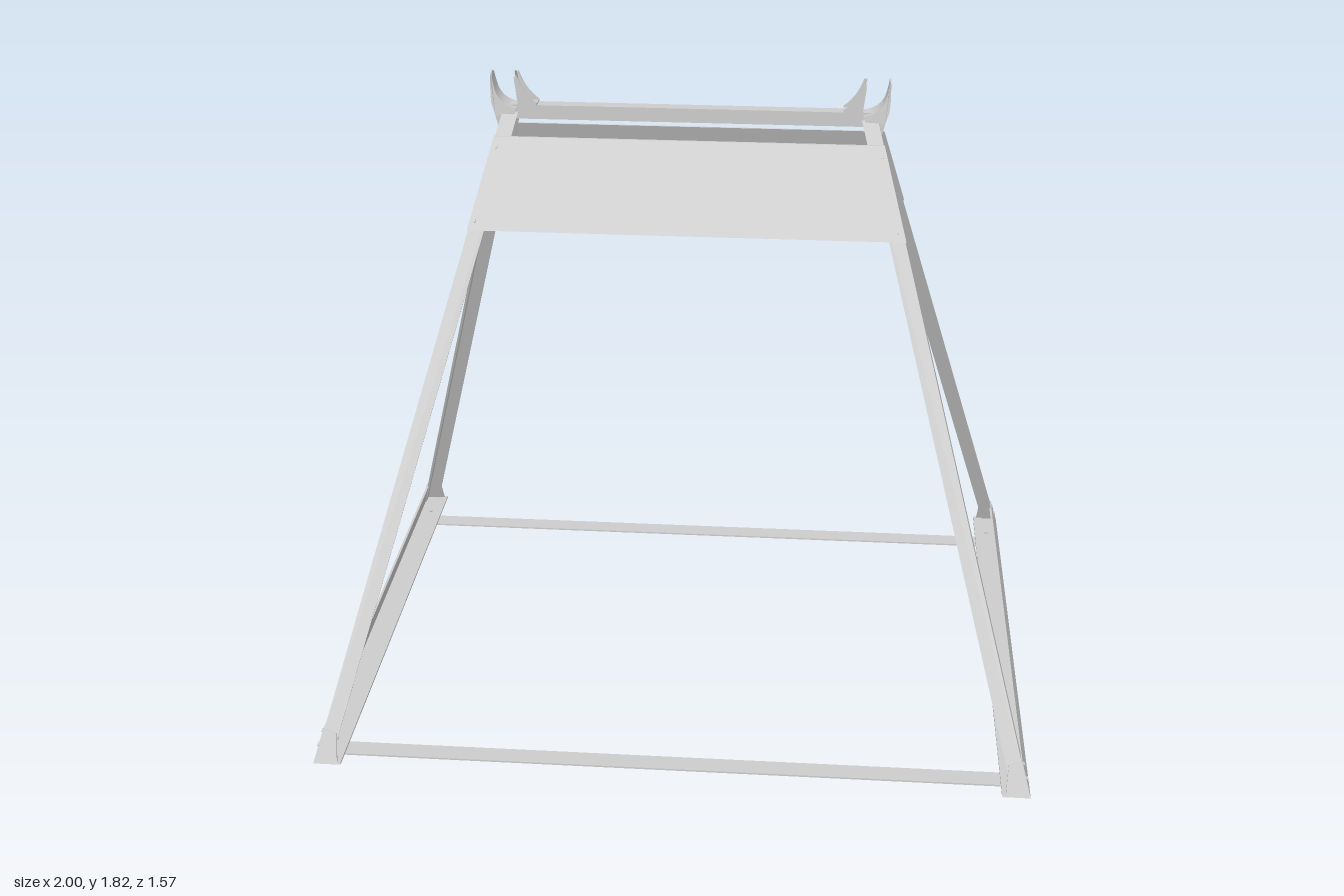
import * as THREE from 'three';

const mat = new THREE.MeshStandardMaterial({ color: 0xcccccc, flatShading: true, side: THREE.DoubleSide });

// Outer corner line of the legs: half width and half depth at height y
const xAt = (y) => 1.0 - 0.283 * (y - 0.03);
const zAt = (y) => 0.787 - 0.447 * (y - 0.03);

// Solid between two matching loops; caps fan out from the first point
function loft(a, b) {
  const n = a.length, tris = [];
  for (let i = 0; i < n; i++) {
    const j = (i + 1) % n;
    tris.push([a[i], a[j], b[j]], [a[i], b[j], b[i]]);
    if (i > 0 && i < n - 1) tris.push([a[0], a[i + 1], a[i]], [b[0], b[i], b[i + 1]]);
  }
  const v = (p) => new THREE.Vector3(...p);
  let volume = 0;
  for (const [p, q, r] of tris) volume += v(p).dot(v(q).cross(v(r)));
  if (volume < 0) tris.forEach((t) => t.reverse());
  const geo = new THREE.BufferGeometry();
  geo.setAttribute('position', new THREE.Float32BufferAttribute(tris.flat(2), 3));
  geo.computeVertexNormals();
  return geo;
}

export function createModel() {
  const model = new THREE.Group();
  const add = (name, geo, parent = model) => {
    const mesh = new THREE.Mesh(geo, mat);
    mesh.name = name;
    parent.add(mesh);
    return mesh;
  };
  const bolt = (x, y, z, normal) => {
    const m = add('bolt', new THREE.CylinderGeometry(0.006, 0.006, 0.008, 8));
    m.position.set(x, y, z);
    m.quaternion.setFromUnitVectors(new THREE.Vector3(0, 1, 0), normal.normalize());
  };

  const w = 0.045, t = 0.007;
  for (const sx of [-1, 1]) {
    for (const sz of [-1, 1]) {
      // Angle-section leg leaning towards the ridge
      const section = (y) => {
        const x = xAt(y) - 0.003, z = zAt(y) - 0.003;
        return [[x - t, z - t], [x - t, z - w], [x, z - w], [x, z], [x - w, z], [x - w, z - t]]
          .map(([px, pz]) => [sx * px, y, sz * pz]);
      };
      add('leg', loft(section(0.035), section(1.71)));

      // Foot plate closing the corner
      const foot = (d) => [[0.03, 0], [0.03, 0.068], [0.11, 0.04], [0.12, 0]]
        .map(([y, inset]) => [sx * (xAt(y) - inset), y, sz * (zAt(y) - d)]);
      add('footPlate', loft(foot(0), foot(0.006)));

      // Bolts on the panels and rails
      for (const y of [1.435, 1.625]) {
        bolt(sx * (xAt(y) - 0.013), y, sz * (zAt(y) + 0.006), new THREE.Vector3(0, 0.447, sz));
      }
      for (const [y, z] of [[0.105, 0.733], [0.07, 0.75]]) {
        bolt(sx * xAt(y), y, sz * z, new THREE.Vector3(sx, 0.283, 0));
      }
      bolt(sx * 0.96, 0.036, sz * 0.672, new THREE.Vector3(0, 1, 0));
    }

    // Side rail: leaning outer flange and flat bottom flange
    const rail = (s) => [
      [xAt(0.036) - t, 0.036], [0.922, 0.036], [0.922, 0.03],
      [xAt(0.03), 0.03], [xAt(0.12), 0.12], [xAt(0.12) - t, 0.12],
    ].map(([x, y]) => [sx * x, y, s * zAt(y)]);
    add('sideRail', loft(rail(-1), rail(1)));
  }

  for (const sz of [-1, 1]) {
    // Sloping panel across the upper legs
    const panel = (s) => [[1.41, 0], [1.65, 0], [1.65, 0.006], [1.41, 0.006]]
      .map(([y, d]) => [s * xAt(y), y, sz * (zAt(y) + d - 0.002)]);
    add('panel', loft(panel(-1), panel(1)));

    // Flat floor strip
    add('floorStrip', new THREE.BoxGeometry(1.98, 0.005, 0.058)).position.set(0, 0.0025, sz * 0.67);
  }

  // Ridge bar
  add('ridgeBar', new THREE.BoxGeometry(1.02, 0.04, 0.038)).position.set(0, 1.708, 0);

  // Outer cradle horn, narrowing to a rounded tip
  const horn = new THREE.Shape();
  horn.moveTo(0.5, 1.66);
  horn.lineTo(0.53, 1.66);
  horn.lineTo(0.54, 1.7);
  horn.lineTo(0.551, 1.735);
  for (const y of [1.76, 1.785, 1.8, 1.81, 1.817, 1.82]) horn.lineTo(0.553, y);
  for (const [x, y] of [[0.549, 1.82], [0.549, 1.817], [0.548, 1.81], [0.547, 1.8], [0.544, 1.785]]) horn.lineTo(x, y);
  horn.quadraticCurveTo(0.535, 1.73, 0.48, 1.722);
  horn.lineTo(0.485, 1.71);
  const hornGeo = new THREE.ExtrudeGeometry(horn, { depth: 2, bevelEnabled: false, curveSegments: 10 });
  hornGeo.translate(0, 0, -1);
  const p = hornGeo.attributes.position;
  for (let i = 0; i < p.count; i++) {
    const y = p.getY(i);
    const taper = 0.036 - 0.12 * Math.max(0, y - 1.7);
    const k = Math.max(0, (y - 1.795) / 0.026);
    p.setZ(i, p.getZ(i) * taper * Math.sqrt(Math.max(0.02, 1 - k * k)));
  }
  hornGeo.computeVertexNormals();

  // Inner bracket cheek with a concave slope
  const cheek = new THREE.Shape();
  cheek.moveTo(0.425, 1.728);
  cheek.lineTo(0.475, 1.728);
  cheek.lineTo(0.485, 1.81);
  cheek.lineTo(0.48, 1.815);
  cheek.quadraticCurveTo(0.463, 1.762, 0.425, 1.735);
  const cheekGeo = new THREE.ExtrudeGeometry(cheek, { depth: 0.004, bevelEnabled: false, curveSegments: 8 });

  // Upright tab of the inner bracket with a round top
  const tab = new THREE.Shape();
  tab.moveTo(-0.024, 0);
  tab.lineTo(0.024, 0);
  tab.lineTo(0.022, 0.072);
  tab.absarc(0, 0.072, 0.022, 0, Math.PI, false);
  const tabGeo = new THREE.ExtrudeGeometry(tab, { depth: 0.004, bevelEnabled: false, curveSegments: 10 });

  // Bracket foot with two bolt holes
  const base = new THREE.Shape();
  base.moveTo(0.425, -0.024);
  base.lineTo(0.48, -0.024);
  base.lineTo(0.48, 0.024);
  base.lineTo(0.425, 0.024);
  for (const hx of [0.438, 0.46]) {
    base.holes.push(new THREE.Path().absarc(hx, 0, 0.006, 0, Math.PI * 2, true));
  }
  const baseGeo = new THREE.ExtrudeGeometry(base, { depth: 0.004, bevelEnabled: false, curveSegments: 6 });

  for (const turn of [0, Math.PI]) {
    const cradle = new THREE.Group();
    cradle.name = 'cradle';
    add('outerHorn', hornGeo, cradle);
    for (const z of [-0.024, 0.02]) add('bracketCheek', cheekGeo, cradle).position.z = z;
    const upright = add('bracketTab', tabGeo, cradle);
    upright.position.set(0.474, 1.728, 0);
    upright.rotation.set(0, Math.PI / 2, -0.12, 'ZYX');
    const foot = add('bracketFoot', baseGeo, cradle);
    foot.rotation.x = -Math.PI / 2;
    foot.position.y = 1.728;
    cradle.rotation.y = turn;
    model.add(cradle);
  }
  return model;
}
